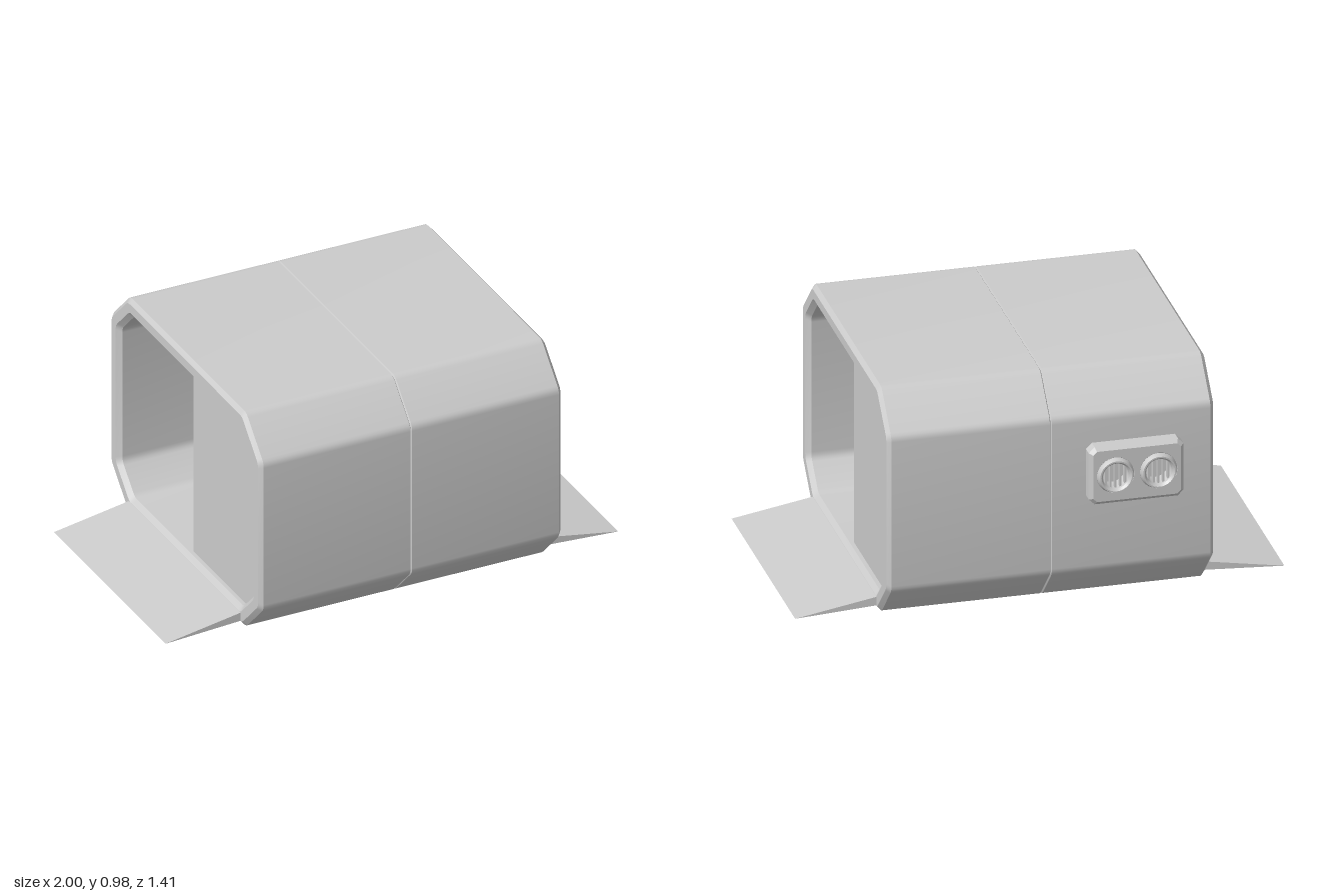
import * as THREE from 'three';
import { toCreasedNormals } from 'three/addons/utils/BufferGeometryUtils.js';

const W = 0.668, H = 0.488, CUT = 0.155; // half width, half height, corner cut
const vectors = list => list.map(p => new THREE.Vector2(...p));

// Chamfered rectangle inset by d, counter-clockwise; the last side is the bottom
function octagon(d) {
  const a = W - d, b = H - d, c = CUT - 0.586 * d;
  return vectors([[a - c, -b], [a, c - b], [a, b - c], [a - c, b],
    [c - a, b], [-a, b - c], [-a, c - b], [c - a, -b]]);
}

// The same outline with softly rounded corners
function ring(d) {
  const pts = octagon(d), out = [];
  pts.forEach((p, i) => {
    const toward = q => p.clone().add(q.clone().sub(p).setLength(0.02));
    const curve = new THREE.QuadraticBezierCurve(toward(pts[(i + 7) % 8]), p, toward(pts[(i + 1) % 8]));
    out.push(...curve.getPoints(3));
  });
  return out;
}

// Hollow body: a wall profile of [x, inset] swept around the outline.
// The outer skin is left open underneath, below the raised floor.
function shellGeometry() {
  const half = [[0.004, 0], [0.652, 0], [0.668, 0.018], [0.668, 0.055], [0.648, 0.075]];
  const profile = [[0, 0.006], ...half, ...half.slice().reverse().map(([x, d]) => [-x, d])];
  const loops = profile.map(([x, d]) => ring(d).map(p => [x, p.y + H, -p.x]));
  const pos = [], n = loops[0].length;
  loops.forEach((A, i) => {
    const next = (i + 1) % loops.length, B = loops[next];
    const outer = Math.min(profile[i][1], profile[next][1]) < 0.05;
    for (let j = 0; j < (outer ? n - 1 : n); j++) {
      const k = (j + 1) % n;
      pos.push(...A[j], ...A[k], ...B[j], ...A[k], ...B[k], ...B[j]);
    }
  });
  const g = new THREE.BufferGeometry();
  g.setAttribute('position', new THREE.Float32BufferAttribute(pos, 3));
  return toCreasedNormals(g, 0.5);
}

export function createModel() {
  const model = new THREE.Group();
  const body = new THREE.Group();
  body.name = 'shelter';
  body.position.z = 0.037;
  model.add(body);
  const solid = new THREE.MeshStandardMaterial({ color: 0xcccccc });
  const open = new THREE.MeshStandardMaterial({ color: 0xcccccc, side: THREE.DoubleSide });
  const add = (parent, name, geometry, x = 0, y = 0, z = 0, material = solid) => {
    const m = new THREE.Mesh(geometry, material);
    m.name = name;
    m.position.set(x, y, z);
    parent.add(m);
    return m;
  };

  add(body, 'shell', shellGeometry(), 0, 0, 0, open);

  // Half-width sliding door, just inside the end frame, its foot set through the floor
  const o = octagon(0.064);
  const doorShape = new THREE.Shape([
    new THREE.Vector2(0.002, o[0].y), ...o.slice(0, 4), new THREE.Vector2(0.002, o[3].y)]);
  const doorGeometry = new THREE.ExtrudeGeometry(doorShape, {
    depth: 0.02, bevelThickness: 0.006, bevelSize: 0.006, bevelSegments: 1 });

  // Thin ramp wedge leading up to the door sill
  const rampShape = new THREE.Shape(vectors(
    [[0.65, 0.025], [0.67, 0.02], [1, 0], [0.668, 0.057], [0.65, 0.057]]));
  const rampGeometry = new THREE.ExtrudeGeometry(rampShape, { depth: 0.99, bevelEnabled: false });

  // Both ends are alike, turned half a revolution
  ['left', 'right'].forEach((side, i) => {
    const end = new THREE.Group();
    end.name = side + 'End';
    end.rotation.y = i * Math.PI;
    body.add(end);
    add(end, side + 'Door', doorGeometry, 0.605, H, 0).rotation.y = Math.PI / 2;
    add(end, side + 'Ramp', rampGeometry, 0, 0, -0.495);
  });

  // Ventilation unit on the back wall, built facing +z and turned round
  const vent = new THREE.Group();
  vent.name = 'ventUnit';
  vent.position.set(-0.337, 0.582, -0.63);
  vent.rotation.y = Math.PI;
  model.add(vent);
  const w = 0.179, h = 0.109, c = 0.015, r = 0.062;
  const plate = new THREE.Shape(vectors([[c - w, -h], [w - c, -h], [w, c - h], [w, h - c],
    [w - c, h], [c - w, h], [-w, h - c], [-w, c - h]]));
  const centres = [-0.088, 0.088];
  centres.forEach(x => {
    const hole = new THREE.Path();
    hole.absarc(x, 0, r + 0.015, 0, Math.PI * 2, true);
    plate.holes.push(hole);
  });
  add(vent, 'ventHousing', new THREE.ExtrudeGeometry(plate, {
    depth: 0.045, bevelThickness: 0.015, bevelSize: 0.015, bevelSegments: 1, curveSegments: 24 }));

  // Raised rims with upright slats
  const rimProfile = vectors([[r - 0.008, 0], [r - 0.008, 0.07], [r, 0.08],
    [r + 0.006, 0.08], [r + 0.014, 0.06], [r + 0.014, 0]]);
  const rimGeometry = toCreasedNormals(new THREE.LatheGeometry(rimProfile, 32), 0.5);
  centres.forEach(x => {
    add(vent, 'ventRim', rimGeometry, x, 0, 0, open).rotation.x = Math.PI / 2;
    for (let i = -2; i <= 2; i++) {
      const dx = i * 0.02;
      const len = 2 * Math.sqrt((r - 0.006) ** 2 - dx * dx);
      add(vent, 'ventSlat', new THREE.BoxGeometry(0.008, len, 0.02), x + dx, 0, 0.05);
    }
  });
  return model;
}
